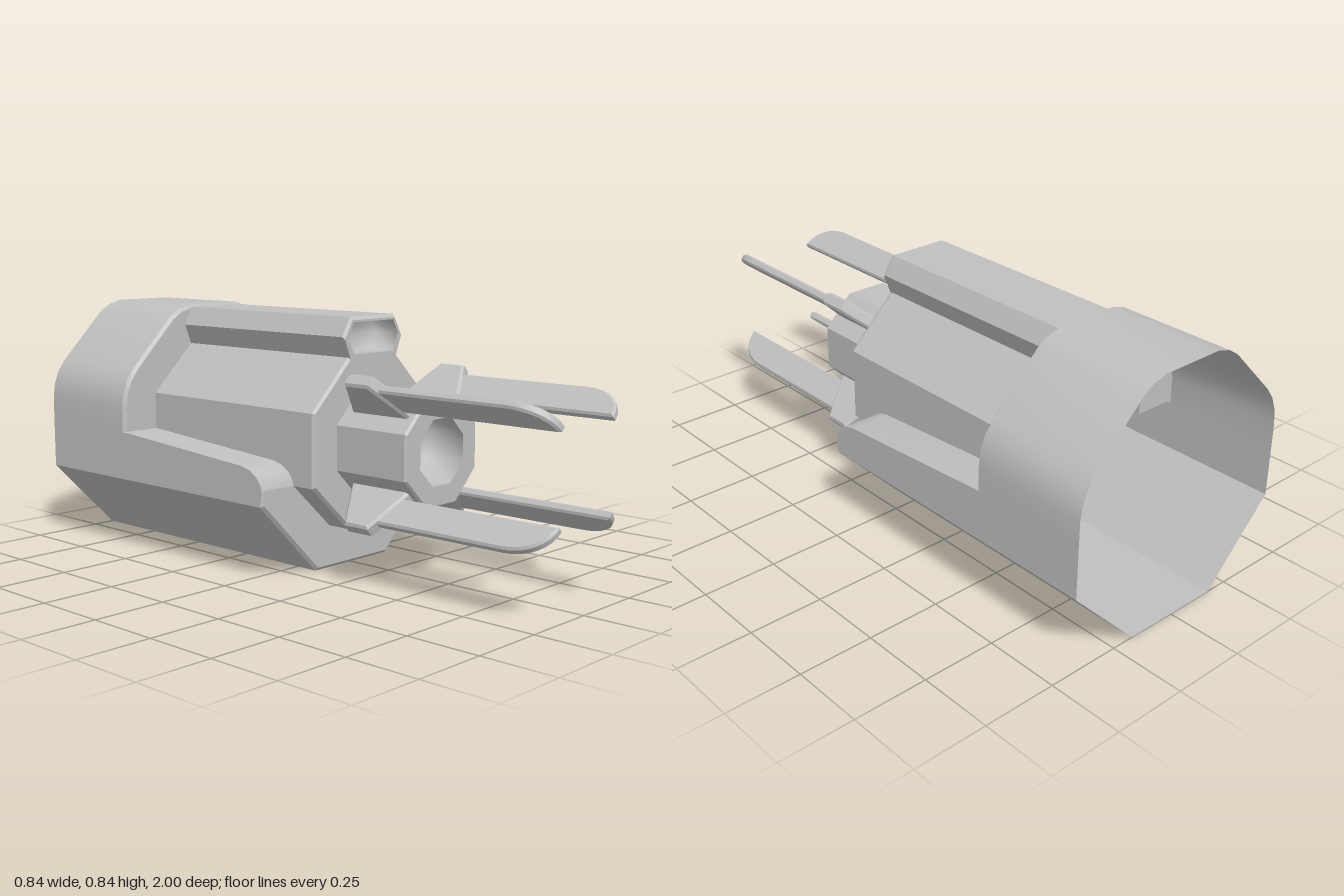
import * as THREE from 'three';
import { toCreasedNormals } from 'three/addons/utils/BufferGeometryUtils.js';

const grey = new THREE.MeshStandardMaterial({ color: 0xc0c0c0, side: THREE.DoubleSide });
grey.name = 'grey';

const CY = 0.42; // height of the main axis
const mirror = half => [...half, ...half.map(([x, y]) => [-x, y]).reverse()];
const inset = (pts, k, cy = CY) => pts.map(([x, y]) => [x * k, cy + (y - cy) * k]);
const at = (pts, z) => pts.map(([x, y]) => [x, y, z]);
const shapeOf = pts => new THREE.Shape(pts.map(p => new THREE.Vector2(...p)));

// Skin through a list of rings with equal point counts
function loft(rings, closed, crease = 0.5) {
  const n = rings[0].length, idx = [];
  for (let r = 0; r + 1 < rings.length; r++) {
    for (let i = 0; i < (closed ? n : n - 1); i++) {
      const j = (i + 1) % n, a = r * n + i, b = r * n + j, c = b + n, d = a + n;
      idx.push(a, b, c, a, c, d);
    }
  }
  const g = new THREE.BufferGeometry();
  g.setAttribute('position', new THREE.Float32BufferAttribute(rings.flat(2), 3));
  g.setIndex(idx);
  g.computeVertexNormals();
  return toCreasedNormals(g, crease);
}

// Flat plate facing front, with optional holes
function plate(pts, z, holes = []) {
  const s = shapeOf(pts);
  for (const h of holes) s.holes.push(new THREE.Path(h.map(p => new THREE.Vector2(...p))));
  return new THREE.ShapeGeometry(s).translate(0, 0, z);
}

// Flat wall in a plane of constant x, outlined by (z, y) points
const wall = (pts, x) => new THREE.ShapeGeometry(shapeOf(pts)).rotateY(-Math.PI / 2).translate(x, 0, 0);

export function createModel() {
  const model = new THREE.Group();
  model.name = 'connectorPlug';
  const add = (name, geometry, parent = model) => {
    const m = new THREE.Mesh(geometry, grey);
    m.name = name;
    parent.add(m);
    return m;
  };

  // Cross-sections, right half first then mirrored
  const arch = mirror([[0.42, 0.415], [0.42, 0.5], [0.413, 0.55], [0.395, 0.595], [0.366, 0.634],
    [0.198, 0.802], [0.16, 0.826], [0.11, 0.84]]);
  const keel = mirror([[0.42, 0.25], [0.172, 0]]).reverse();
  const roof = mirror([[0.28, 0.54], [0.113, 0.703], [0.14, 0.77], [0.105, 0.832]]);
  const belly = [[-0.28, 0.3], [-0.115, 0.145], [0.115, 0.145], [0.28, 0.3]];
  const bodyRing = [...roof, ...belly];
  const tab = [[-0.59, 0.415], [0, 0.372], [0.035, 0.363], [0.065, 0.345], [0.083, 0.322], [0.09, 0.3]];

  // Rear collar, open at the back
  const collarRing = [...arch, ...keel];
  add('collar', loft([at(collarRing, -1), at(collarRing, -0.6)], true));
  const archIn = inset(arch, 0.972);
  add('collarBevel', loft([at(arch, -0.6), at(archIn, -0.59)], false));
  add('collarLedge', plate([...archIn, [-0.28, 0.415], ...[...roof].reverse(), [0.28, 0.415]], -0.59));

  // Lower shell with a bevelled nose
  const nose = [[-0.42, 0.3], ...keel, [0.42, 0.3]];
  const noseIn = inset(nose, 0.975);
  add('lowerShell', loft([at(keel, -0.6), at(keel, 0.08)], false));
  add('noseBevel', loft([at(nose, 0.08), at(noseIn, 0.09)], false));
  add('noseFace', plate([...noseIn, ...[...belly].reverse()], 0.09));

  // Side tabs and body flanks
  for (const s of [1, -1]) {
    add('tabWall', wall([[-0.6, 0.25], [0.08, 0.25], ...[...tab].reverse(), [-0.6, 0.415]], s * 0.42));
    add('tabTop', loft([0.28, 0.42].map(x => tab.map(([z, y]) => [s * x, y, z])), false));
    add('bodyFlank', wall([[0.17, 0.54], [-0.59, 0.54], ...tab, [0.17, 0.3]], s * 0.28));
  }

  // Main body with the key ridge on top
  const bodyIn = inset(bodyRing, 0.972, 0.48);
  const pocket = mirror([[0.095, 0.712], [0.12, 0.77], [0.095, 0.815]]);
  add('bodyRoof', loft([at(roof, -0.59), at(roof, 0.17)], false));
  add('bodyBelly', loft([at(belly, 0.09), at(belly, 0.17)], false));
  add('bodyBevel', loft([at(bodyRing, 0.17), at(bodyIn, 0.18)], true));
  add('bodyFace', plate(bodyIn, 0.18, [pocket]));

  // Smooth-shaded blind recess
  const recess = (name, pts, z, depth, cy) => add(name, loft([at(pts, z), at(pts, z - depth),
    at(inset(pts, 0.001, cy), z - depth)], true, Math.PI));
  recess('ridgePocket', pocket, 0.18, 0.1, 0.765);

  // Octagonal neck with a bore
  const octagon = (r, c) => [[r, -c], [r, c], [c, r], [-c, r], [-r, c], [-r, -c], [-c, -r], [c, -r]]
    .map(([x, y]) => [x, y + CY]);
  const neck = octagon(0.175, 0.073), neckIn = inset(neck, 0.965), bore = octagon(0.106, 0.044);
  add('neck', loft([at(neck, 0.17), at(neck, 0.46), at(neckIn, 0.467)], true));
  add('neckFace', plate(neckIn, 0.467, [bore]));
  recess('neckBore', bore, 0.467, 0.15, CY);

  // Four radial clips, each holding a blade with a rounded tip
  const slab = (shape, thick, bevel) => toCreasedNormals(new THREE.ExtrudeGeometry(shape, {
    depth: thick - 2 * bevel, bevelEnabled: true, bevelThickness: bevel, bevelSize: bevel,
    bevelOffset: -bevel, bevelSegments: 1, curveSegments: 8,
  }).translate(0, 0, bevel - thick / 2), 0.5);
  const clipShape = shapeOf([[-0.03, 0.185], [0.02, 0.21], [0.168, 0.28], [0.168, 0.375], [0.02, 0.44], [-0.03, 0.44]]);
  const bladeShape = shapeOf([[0.028, 0.3], [0.135, 0.3], [0.135, 0.86]]);
  bladeShape.bezierCurveTo(0.135, 0.94, 0.09, 1, 0.028, 1);
  const clipGeo = slab(clipShape, 0.046, 0.008);
  const bladeGeo = slab(bladeShape, 0.03, 0.007);
  for (const sx of [1, -1]) {
    for (const sy of [1, -1]) {
      const prong = new THREE.Group();
      prong.name = 'prong';
      const out = new THREE.Vector3(sx * 0.757, sy * 0.653, 0);
      const fwd = new THREE.Vector3(0, 0, 1);
      prong.applyMatrix4(new THREE.Matrix4()
        .makeBasis(out, fwd, out.clone().cross(fwd))
        .setPosition(sx * 0.11, CY + sy * 0.125, 0));
      add('clip', clipGeo, prong);
      add('blade', bladeGeo, prong);
      model.add(prong);
    }
  }
  return model;
}
